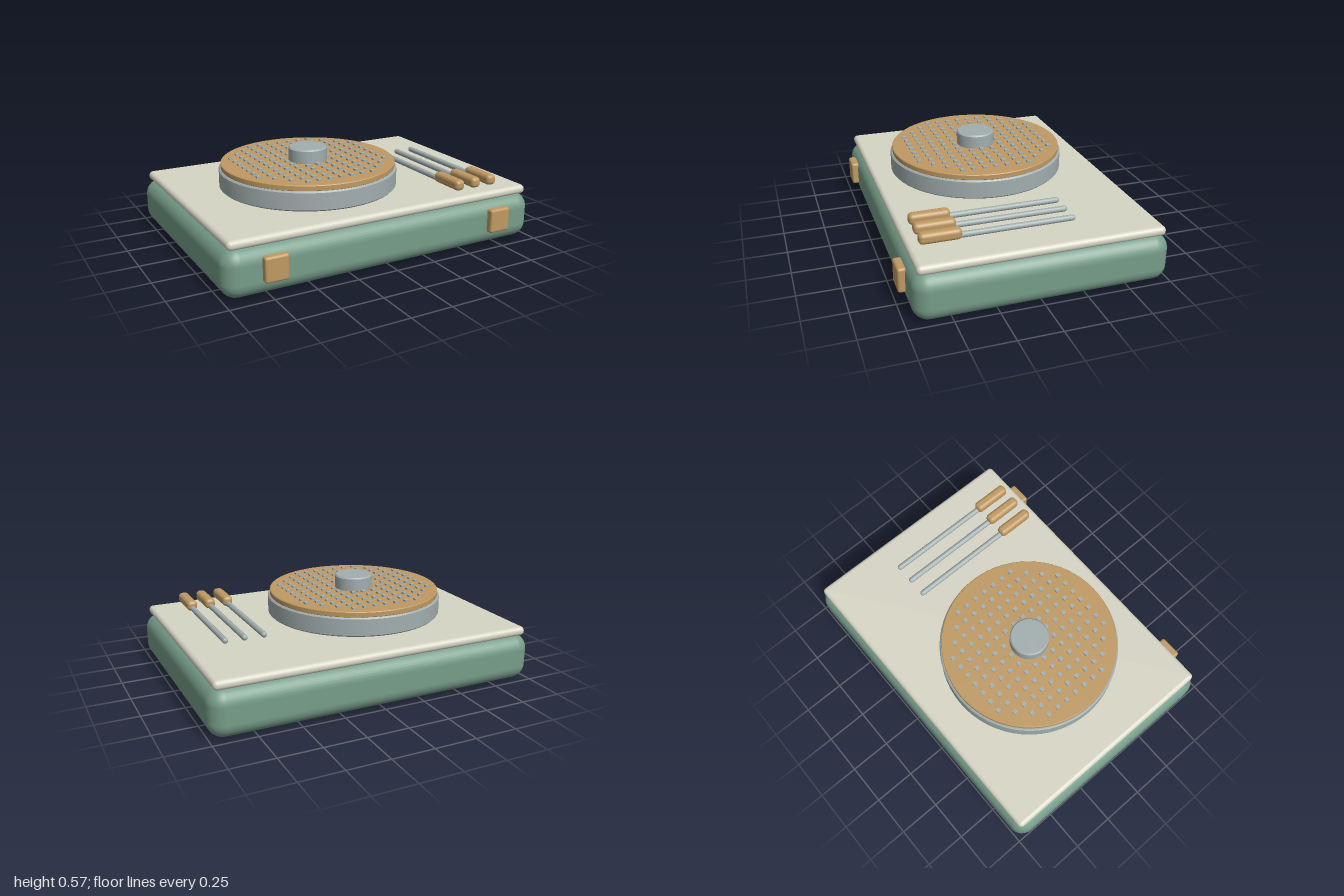
import * as THREE from 'three';
import { toCreasedNormals } from 'three/addons/utils/BufferGeometryUtils.js';
import { RoundedBoxGeometry } from 'three/addons/geometries/RoundedBoxGeometry.js';

const material = (name, color) => {
  const m = new THREE.MeshStandardMaterial({ color });
  m.name = name;
  return m;
};

export function createModel() {
  const green = material('sage green', 0x769c89);
  const cream = material('cream', 0xd6d5c5);
  const wood = material('tan wood', 0xbf9962);
  const metal = material('grey metal', 0xa2aeae);

  const model = new THREE.Group();
  model.name = 'drumBoxWithTools';

  const add = (parent, name, geometry, mat, x, y, z) => {
    const mesh = new THREE.Mesh(geometry, mat);
    mesh.name = name;
    mesh.position.set(x, y, z);
    parent.add(mesh);
    return mesh;
  };

  // Disc standing on its base, with small bevels on both rims
  const disc = (r, h, b) => {
    const profile = [[0, 0], [r - b, 0], [r, b], [r, h - b], [r - b, h], [0, h]];
    const points = profile.map(([x, y]) => new THREE.Vector2(x, y));
    return toCreasedNormals(new THREE.LatheGeometry(points, 64), 0.5);
  };

  // Case and its top plate
  add(model, 'case', new RoundedBoxGeometry(2, 0.28, 1.45, 5, 0.09), green, 0, 0.14, -0.02);
  add(model, 'topPlate', new RoundedBoxGeometry(1.935, 0.055, 1.395, 4, 0.026), cream, 0, 0.302, -0.02);

  // Front latches
  const latch = new RoundedBoxGeometry(0.138, 0.146, 0.05, 3, 0.015);
  for (const side of [-1, 1]) {
    add(model, side < 0 ? 'rightLatch' : 'leftLatch', latch, wood, side * 0.726, 0.163, 0.72);
  }

  // Round drum with a wooden face and a central knob
  const drum = new THREE.Group();
  drum.name = 'drum';
  drum.position.set(-0.185, 0, 0.017);
  model.add(drum);
  add(drum, 'drumBase', disc(0.537, 0.115, 0.008), metal, 0, 0.34, 0);
  add(drum, 'drumFace', disc(0.525, 0.034, 0.004), wood, 0, 0.453, 0);
  add(drum, 'knob', disc(0.116, 0.09, 0.008), metal, 0, 0.48, 0);

  // Grid of small studs, kept clear of the rim and the knob
  const studs = new THREE.Group();
  studs.name = 'studs';
  drum.add(studs);
  const stud = new THREE.BoxGeometry(0.025, 0.02, 0.025);
  for (let i = -6; i <= 6; i++) {
    for (let j = -6; j <= 6; j++) {
      const d = i * i + j * j;
      if (d >= 4 && d <= 45) add(studs, 'stud', stud, metal, i * 0.069, 0.487, j * 0.069);
    }
  }

  // Three tools lying side by side
  const handle = new RoundedBoxGeometry(0.064, 0.064, 0.235, 4, 0.024);
  const rod = new THREE.CapsuleGeometry(0.017, 0.68, 6, 16).rotateX(Math.PI / 2);
  for (const x of [0.52, 0.636, 0.752]) {
    const tool = new THREE.Group();
    tool.name = 'tool';
    tool.position.x = x;
    model.add(tool);
    add(tool, 'handle', handle, wood, 0, 0.375, 0.502);
    add(tool, 'rod', rod, metal, 0, 0.36, 0.092);
  }

  return model;
}
